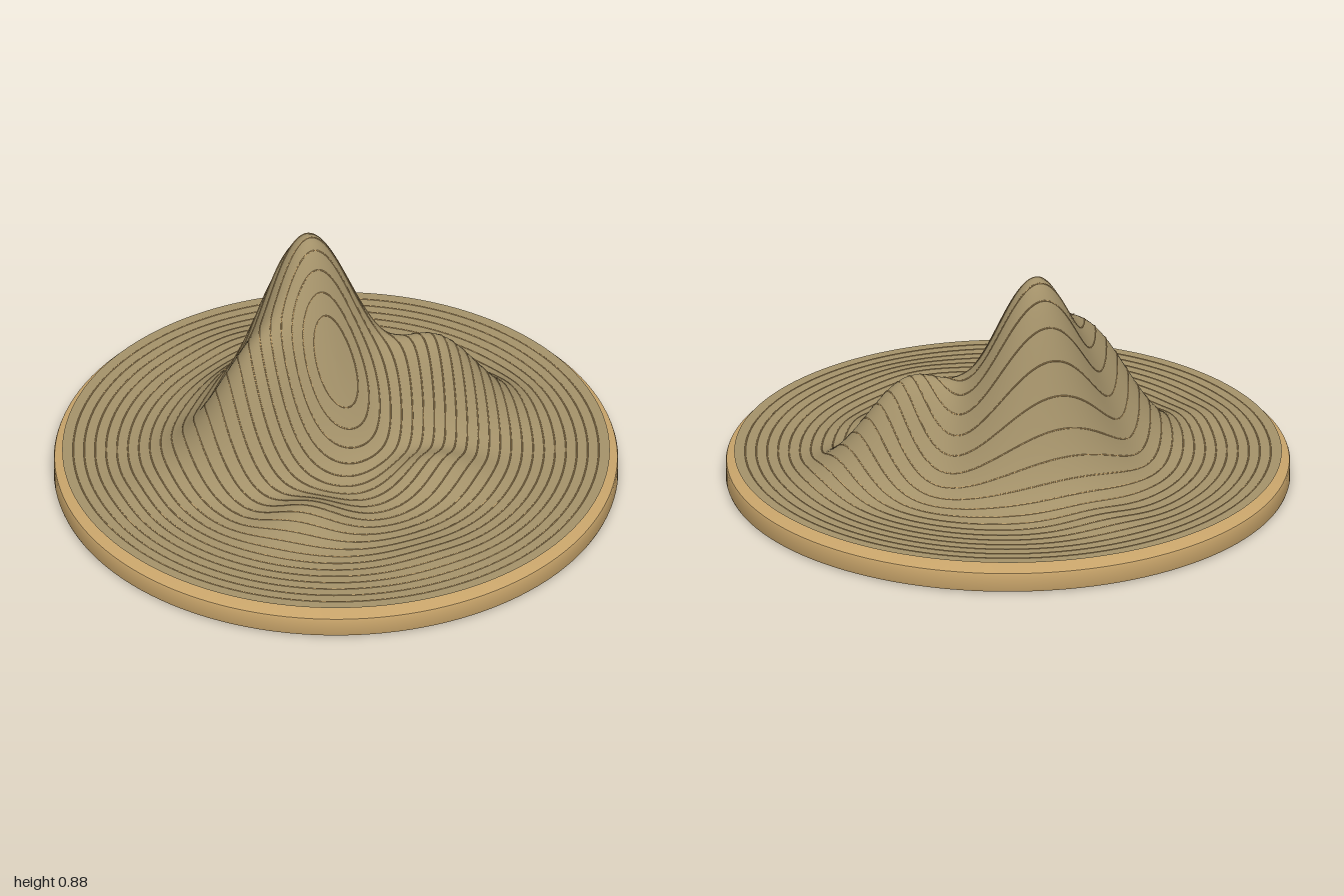
import * as THREE from 'three';
import { mergeVertices, toCreasedNormals } from 'three/addons/utils/BufferGeometryUtils.js';

const FLOOR = 0.104, EDGE = 0.97, STEPS = 25;

// Hills: height, centre x, centre z, spread in x, spread in z
const hills = [
  [0.735, -0.03, -0.26, 0.165, 0.145], // summit
  [0.42, -0.28, -0.02, 0.16, 0.13],    // right-hand shoulder
  [0.355, 0.38, -0.08, 0.165, 0.12],   // left-hand shoulder
  [0.13, 0, 0.02, 0.11, 0.11],         // front spur
  [0.1, 0.28, 0.28, 0.13, 0.08],       // foothills
  [0.08, -0.22, 0.42, 0.12, 0.09],
  [0.02, -0.75, 0.08, 0.09, 0.09],
  [0.015, 0.15, 0.72, 0.12, 0.08],
  [0.025, -0.15, -0.7, 0.12, 0.08],
];

function heightAt(x, z) {
  const fade = 1 - Math.min(1, Math.hypot(x, z) / EDGE) ** 10;
  let h = 0;
  for (const [a, cx, cz, sx, sz] of hills) {
    h += a * Math.exp(-((x - cx) ** 2) / (2 * sx * sx) - ((z - cz) ** 2) / (2 * sz * sz));
  }
  return FLOOR + h * fade;
}

// Circle of a given radius draped over the hills
class DrapedCircle extends THREE.Curve {
  constructor(radius) {
    super();
    this.radius = radius;
  }
  getPoint(t, target = new THREE.Vector3()) {
    const a = t * Math.PI * 2;
    const x = this.radius * Math.cos(a), z = this.radius * Math.sin(a);
    return target.set(x, heightAt(x, z), z);
  }
}

export function createModel() {
  const model = new THREE.Group();
  const tan = new THREE.MeshStandardMaterial({ color: 0xc8a46a });
  tan.name = 'tan';
  const earth = new THREE.MeshStandardMaterial({ color: 0xa39169, side: THREE.DoubleSide });
  earth.name = 'earth';

  const add = (name, geometry, material, parent = model) => {
    const mesh = new THREE.Mesh(geometry, material);
    mesh.name = name;
    parent.add(mesh);
  };

  // Round base with softened edges
  const profile = [[0, 0], [0.988, 0], [0.997, 0.004], [1, 0.012], [1, 0.066],
    [0.997, 0.074], [0.988, 0.078], [0, 0.078]].map(p => new THREE.Vector2(...p));
  add('base', toCreasedNormals(new THREE.LatheGeometry(profile, 128), 0.6), tan);

  // Thin terrain sheet floating just above the base
  let sheet = new THREE.RingGeometry(0.0005, EDGE, 160, STEPS * 2);
  sheet.rotateX(-Math.PI / 2);
  sheet.deleteAttribute('uv');
  sheet.deleteAttribute('normal');
  sheet = mergeVertices(sheet, 1e-5);
  const p = sheet.attributes.position;
  for (let i = 0; i < p.count; i++) p.setY(i, heightAt(p.getX(i), p.getZ(i)));
  sheet.computeVertexNormals();
  add('terrain', sheet, earth);

  // Fine concentric wires following the terrain
  const wires = new THREE.Group();
  wires.name = 'contourRings';
  model.add(wires);
  for (let i = 2; i < STEPS; i++) {
    const curve = new DrapedCircle(EDGE * i / STEPS);
    add('contourRing', new THREE.TubeGeometry(curve, 160, 0.0025, 4, true), tan, wires);
  }
  return model;
}
